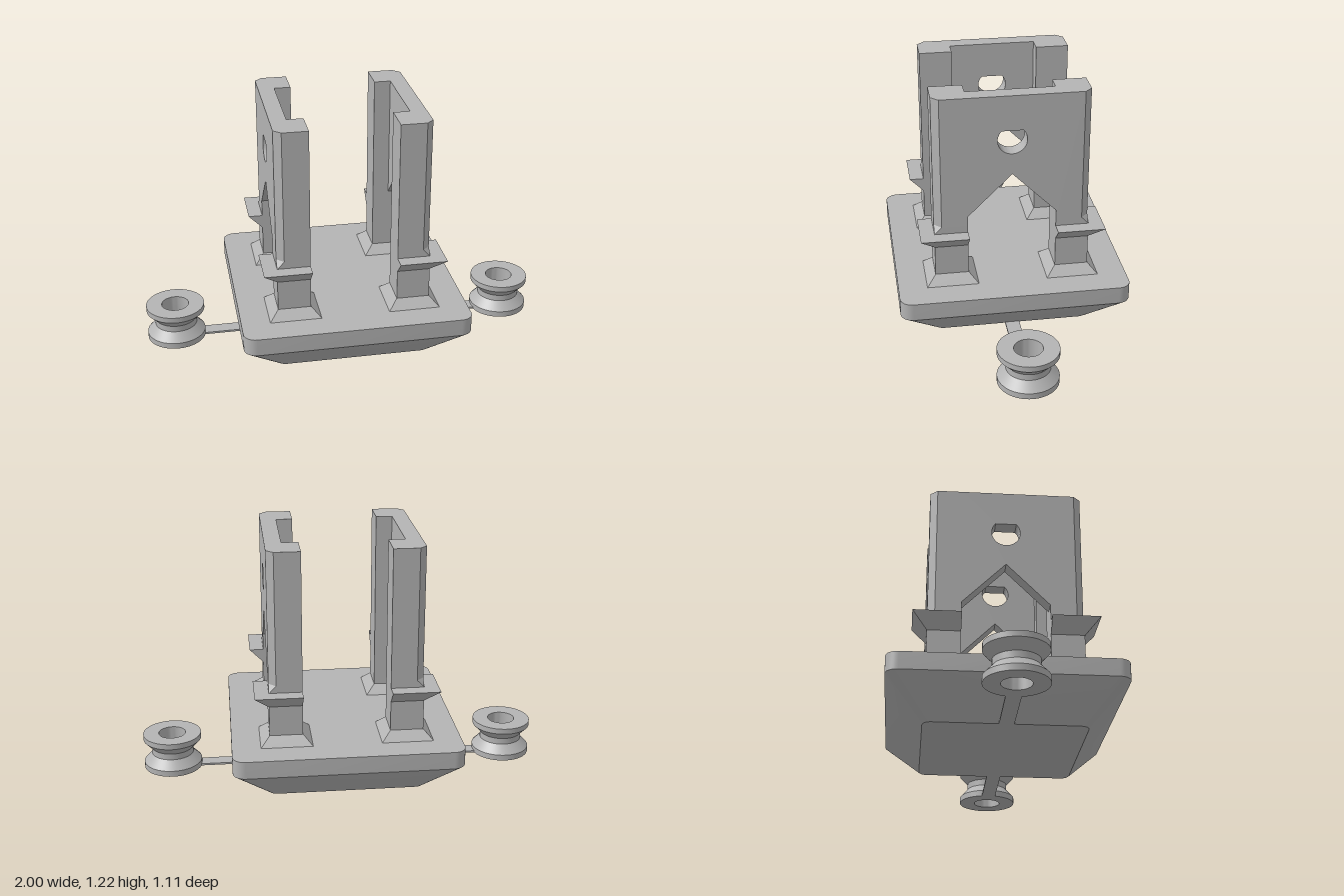
import * as THREE from 'three';
import { toCreasedNormals } from 'three/addons/utils/BufferGeometryUtils.js';

const grey = new THREE.MeshStandardMaterial({ color: 0xb4b4b4 });
grey.name = 'plain grey';

// Skins a stack of convex outlines, each { y, pts: [[x, z], ...] }, and caps both ends.
function loft(rings) {
  const flip = THREE.ShapeUtils.area(rings[0].pts.map(([x, y]) => ({ x, y }))) > 0;
  const loops = rings.map(({ y, pts }) => {
    const loop = pts.map(([x, z]) => [x, y, z]);
    return flip ? loop.reverse() : loop;
  });
  const pos = [];
  const tri = (...corners) => corners.forEach((c) => pos.push(...c));
  const n = loops[0].length;
  for (let k = 0; k + 1 < loops.length; k++) {
    const lo = loops[k], hi = loops[k + 1];
    for (let i = 0; i < n; i++) {
      const j = (i + 1) % n;
      tri(lo[i], lo[j], hi[j]);
      tri(lo[i], hi[j], hi[i]);
    }
  }
  const bottom = loops[0], top = loops[loops.length - 1];
  for (let i = 1; i + 1 < n; i++) {
    tri(top[0], top[i], top[i + 1]);
    tri(bottom[0], bottom[i + 1], bottom[i]);
  }
  const g = new THREE.BufferGeometry();
  g.setAttribute('position', new THREE.Float32BufferAttribute(pos, 3));
  g.computeVertexNormals();
  return g;
}

function roundedSquare(half, r, steps = 8) {
  const pts = [];
  for (let c = 0; c < 4; c++) {
    const mid = Math.PI / 4 + c * Math.PI / 2;
    const cx = Math.sign(Math.cos(mid)) * (half - r), cz = Math.sign(Math.sin(mid)) * (half - r);
    for (let i = 0; i <= steps; i++) {
      const a = (c + i / steps) * Math.PI / 2;
      pts.push([cx + r * Math.cos(a), cz + r * Math.sin(a)]);
    }
  }
  return pts;
}

const IN = 0.212, OUT = 0.373, TOP = 1.222, LEDGE = 0.53;

export function createModel() {
  const model = new THREE.Group();
  const add = (name, geometry, parent = model) => {
    const mesh = new THREE.Mesh(geometry, grey);
    mesh.name = name;
    parent.add(mesh);
    return mesh;
  };

  // Base slab with a tapered underside
  add('base', toCreasedNormals(loft([
    { y: 0, pts: roundedSquare(0.382, 0.042) },
    { y: 0.178, pts: roundedSquare(0.557, 0.061) },
    { y: 0.265, pts: roundedSquare(0.557, 0.061) },
  ]), 0.5));

  // Four legs: flared foot, square shaft, outward ledge, chamfered column
  for (const sx of [-1, 1]) for (const sz of [-1, 1]) {
    const leg = new THREE.Group();
    leg.name = (sz > 0 ? 'front' : 'back') + (sx > 0 ? 'Left' : 'Right') + 'Leg';
    model.add(leg);
    const square = (y, a, b) => ({
      y, pts: [[a, a], [b, a], [b, b], [a, b]].map(([x, z]) => [x * sx, z * sz]),
    });
    add('legShaft', loft([
      square(0.265, IN - 0.045, OUT + 0.045),
      square(0.31, IN, OUT),
      square(0.46, IN, OUT),
      square(LEDGE, IN, OUT + 0.07),
    ]), leg);
    const chamfered = (y, c) => ({
      y, pts: [[IN, IN], [OUT, IN], [OUT, OUT - c], [OUT - c, OUT], [IN, OUT]]
        .map(([x, z]) => [x * sx, z * sz]),
    });
    add('column', loft([
      chamfered(LEDGE, 0.001), chamfered(LEDGE + 0.036, 0.035), chamfered(TOP, 0.035),
    ]), leg);
  }

  // Side plates joining the columns, with a gabled opening and a teardrop hole
  const plate = new THREE.Shape();
  plate.moveTo(-IN, 0.614);
  plate.lineTo(0, 0.825);
  plate.lineTo(IN, 0.614);
  plate.lineTo(IN, TOP);
  plate.lineTo(-IN, TOP);
  plate.closePath();
  const hole = new THREE.Path();
  hole.moveTo(0, 1.104);
  hole.absarc(0, 1.0, 0.07, Math.PI * 0.76, Math.PI * 2.24, false);
  hole.closePath();
  plate.holes.push(hole);
  const thick = 0.08;
  const plateGeometry = toCreasedNormals(
    new THREE.ExtrudeGeometry(plate, { depth: thick, bevelEnabled: false, curveSegments: 32 })
      .rotateY(Math.PI / 2), 0.5);

  // Grooved rollers with a bore, tied to the base by flat straps
  const profile = [
    [0.068, 0], [0.146, 0], [0.146, 0.03], [0.105, 0.074], [0.105, 0.106],
    [0.146, 0.15], [0.146, 0.178], [0.068, 0.178], [0.068, 0],
  ].map(([r, y]) => new THREE.Vector2(r, y));
  const rollerGeometry = toCreasedNormals(new THREE.LatheGeometry(profile, 48), 0.5);

  for (const s of [-1, 1]) {
    const side = s > 0 ? 'left' : 'right';
    add(side + 'Plate', plateGeometry).position.x = s > 0 ? OUT - thick : -OUT;
    add(side + 'Roller', rollerGeometry).position.x = s * 0.854;
    add(side + 'Strap', new THREE.BoxGeometry(0.36, 0.01, 0.07)).position.set(s * 0.55, 0.005, 0);
  }
  return model;
}
